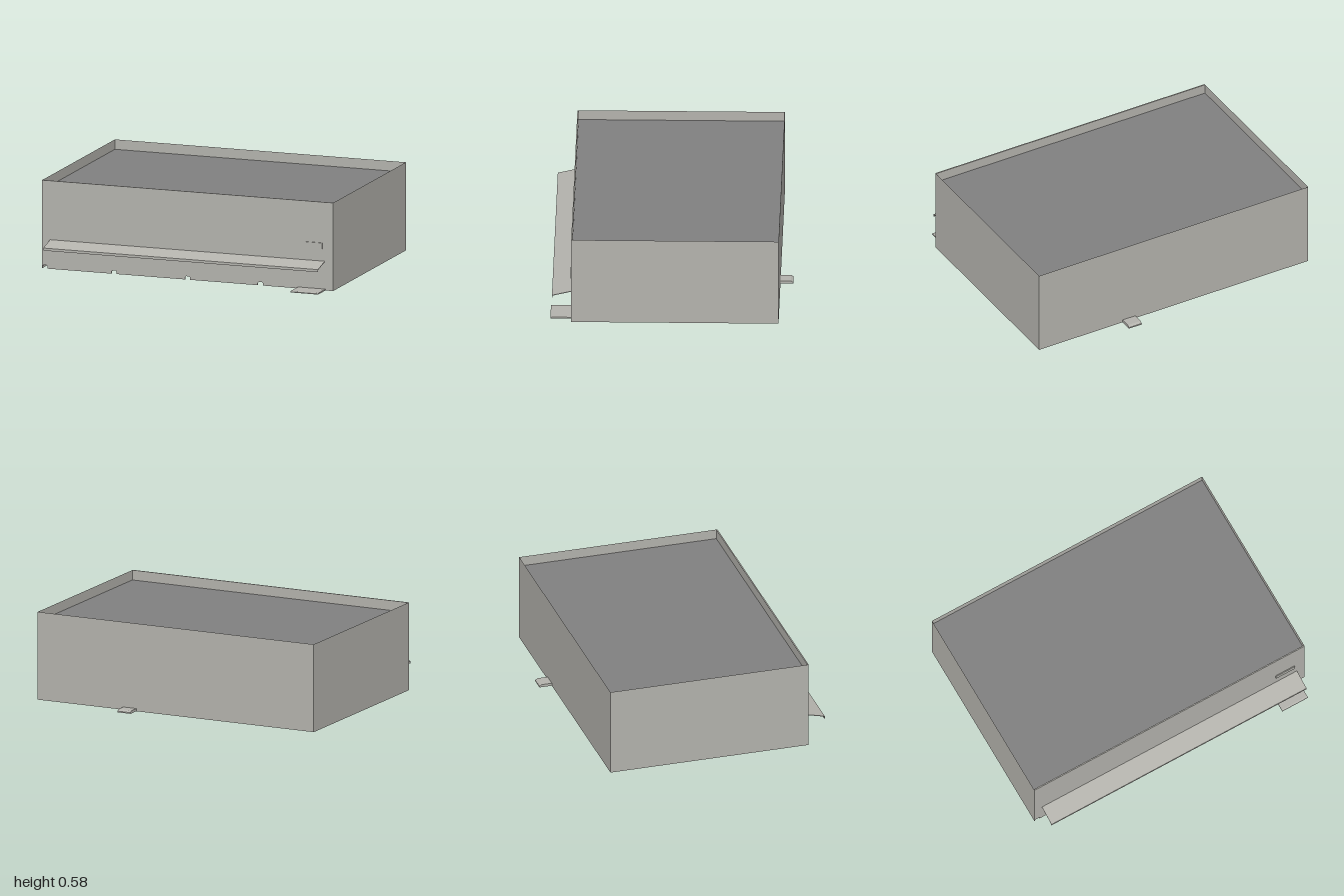
import * as THREE from 'three';

const HEIGHT = 0.58, BACK = -0.695, FRONT = 0.64, ROOF_Y = 0.515;

export function createModel() {
  const model = new THREE.Group();
  model.name = 'warehouse';
  const wallPaint = new THREE.MeshStandardMaterial({ color: 0xb4b3ad, side: THREE.DoubleSide });
  wallPaint.name = 'wall beige';
  const roofFelt = new THREE.MeshStandardMaterial({ color: 0x808080, side: THREE.DoubleSide });
  roofFelt.name = 'roof grey';

  function add(name, geometry, material, x = 0, y = 0, z = 0, turn = 0) {
    const mesh = new THREE.Mesh(geometry, material);
    mesh.name = name;
    mesh.position.set(x, y, z);
    mesh.rotation.y = turn;
    model.add(mesh);
    return mesh;
  }

  // Runs a [z, y] side profile along x
  function addProfile(name, points, xMin, xMax) {
    const shape = new THREE.Shape(points.map(([z, y]) => new THREE.Vector2(z, y)));
    const geometry = new THREE.ExtrudeGeometry(shape, { depth: xMax - xMin, bevelEnabled: false });
    geometry.rotateY(-Math.PI / 2);
    return add(name, geometry, wallPaint, xMax);
  }

  // Front wall with small drain notches along its foot
  const outline = new THREE.Shape();
  outline.moveTo(-1, 0);
  for (const x of [-0.98, -0.505, 0, 0.5]) {
    outline.lineTo(x - 0.018, 0);
    outline.lineTo(x - 0.018, 0.015);
    outline.lineTo(x - 0.011, 0.022);
    outline.lineTo(x + 0.011, 0.022);
    outline.lineTo(x + 0.018, 0.015);
    outline.lineTo(x + 0.018, 0);
  }
  outline.lineTo(1, 0);
  outline.lineTo(1, HEIGHT);
  outline.lineTo(-1, HEIGHT);
  add('frontWall', new THREE.ExtrudeGeometry(outline, { depth: 0.008, bevelEnabled: false }),
    wallPaint, 0, 0, FRONT - 0.008);

  // Thin back and side walls, rising past the roof as a parapet
  const depth = FRONT - BACK, midZ = (FRONT + BACK) / 2;
  add('backWall', new THREE.PlaneGeometry(2, HEIGHT), wallPaint, 0, HEIGHT / 2, BACK, Math.PI);
  for (const side of [-1, 1]) {
    add(side > 0 ? 'leftWall' : 'rightWall', new THREE.PlaneGeometry(depth, HEIGHT),
      wallPaint, side, HEIGHT / 2, midZ, side * Math.PI / 2);
  }

  // Flat roof sunk below the parapet; the building is open underneath
  const roof = new THREE.PlaneGeometry(2, depth - 0.008).rotateX(-Math.PI / 2);
  add('roof', roof, roofFelt, 0, ROOF_Y, midZ - 0.004);

  // Sloping canopy with a turned-down lip
  addProfile('canopy', [
    [FRONT, 0.188], [FRONT, 0.192], [0.765, 0.162], [0.765, 0.145], [0.761, 0.145], [0.761, 0.159],
  ], -0.945, 0.943);

  // Small panel over the entrance
  add('entrancePanel', new THREE.BoxGeometry(0.14, 0.04, 0.006), wallPaint, 0.856, 0.292, FRONT + 0.003);

  // Entrance step and rear step, both with sloped noses
  addProfile('frontStep', [
    [FRONT, 0], [0.775, 0], [0.775, 0.005], [0.765, 0.009], [FRONT, 0.009],
  ], 0.758, 0.948);
  addProfile('rearStep', [
    [BACK, 0], [BACK, 0.018], [-0.762, 0.018], [-0.778, 0.008], [-0.778, 0],
  ], 0.285, 0.38);

  return model;
}
